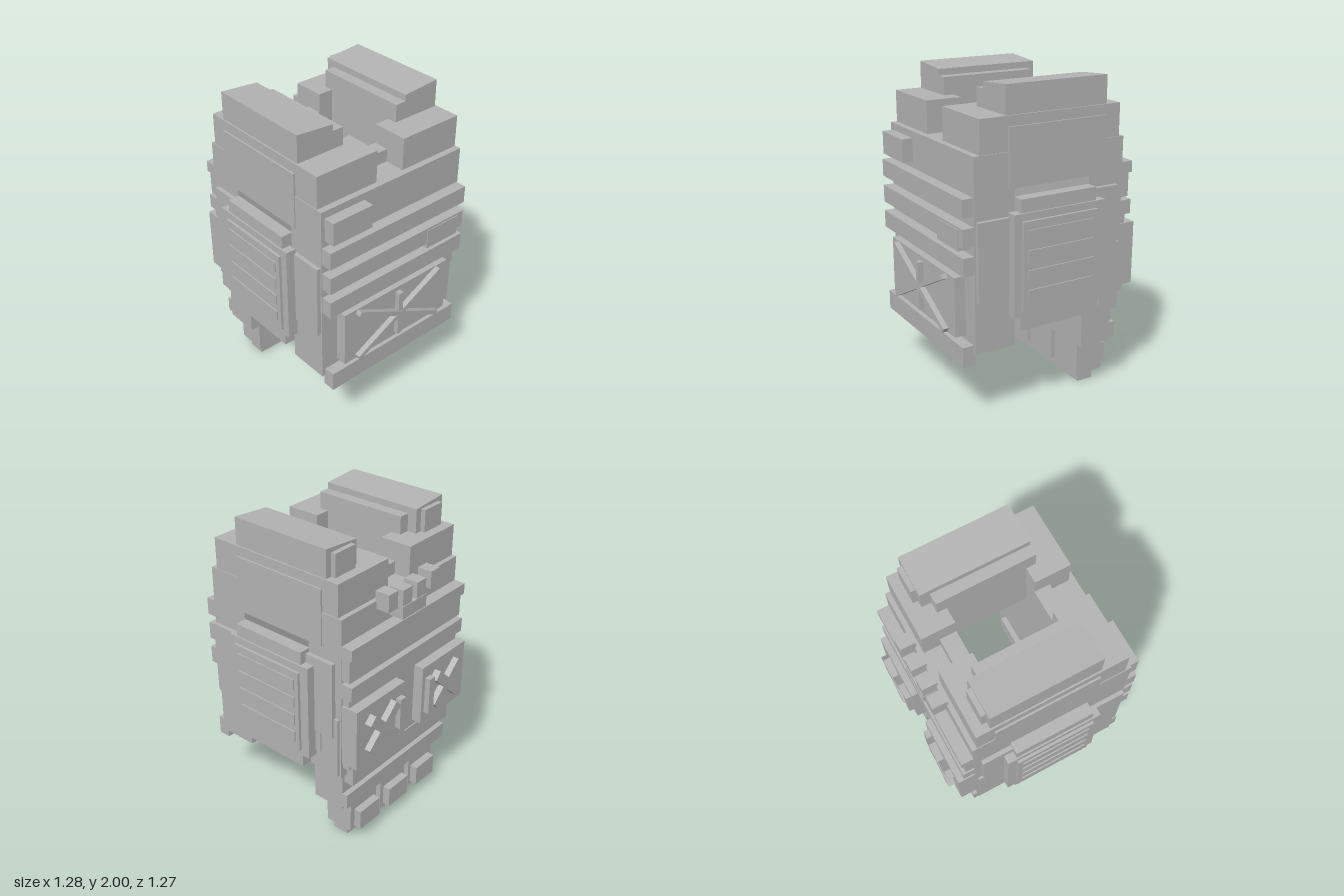
import * as THREE from 'three';

export function createModel() {
  const model = new THREE.Group();
  model.name = 'armouredVest';
  const grey = new THREE.MeshStandardMaterial({ color: 0xb2b2b2 });
  grey.name = 'plain grey';

  // box from its minimum and maximum on each axis
  const box = (name, x0, x1, y0, y1, z0, z1) => {
    const m = new THREE.Mesh(new THREE.BoxGeometry(x1 - x0, y1 - y0, z1 - z0), grey);
    m.position.set((x0 + x1) / 2, (y0 + y1) / 2, (z0 + z1) / 2);
    m.name = name;
    model.add(m);
    return m;
  };
  // the same box on the left and the right
  const pair = (name, x0, x1, ...rest) => {
    box(name + 'Left', x0, x1, ...rest);
    box(name + 'Right', -x1, -x0, ...rest);
  };
  // straight bar between two points in the xy plane
  const bar = (name, ax, ay, bx, by, width, z0, z1) => {
    const m = box(name, 0, Math.hypot(bx - ax, by - ay), 0, width, z0, z1);
    m.position.set((ax + bx) / 2, (ay + by) / 2, (z0 + z1) / 2);
    m.rotation.z = Math.atan2(by - ay, bx - ax);
  };

  // chest plate
  box('chestPlate', -0.535, 0.535, 0.46, 1.63, 0.27, 0.53);
  pair('chestShoulder', 0.1, 0.53, 1.63, 1.83, 0.26, 0.49);
  box('frontCollar', -0.1, 0.1, 1.6, 1.71, 0.26, 0.36);
  pair('chestInnerPad', 0.2, 0.45, 0.5, 0.64, 0.235, 0.29);
  for (const y of [1.29, 1.12, 0.95]) box('chestStrip', -0.53, 0.53, y, y + 0.11, 0.53, 0.6);
  box('chestLabel', -0.51, -0.225, 1.44, 1.585, 0.53, 0.6);
  box('chestClip', 0.225, 0.48, 1.09, 1.215, 0.53, 0.605);
  box('chestHem', -0.51, 0.51, 0.385, 0.51, 0.52, 0.6);

  // front pouch with crossed straps
  box('frontPouch', -0.42, 0.42, 0.54, 0.91, 0.52, 0.6);
  bar('pouchStrapA', -0.33, 0.895, 0.33, 0.555, 0.03, 0.6, 0.635);
  bar('pouchStrapB', -0.33, 0.555, 0.33, 0.895, 0.03, 0.6, 0.635);
  bar('pouchStrapC', 0, 0.57, 0, 0.88, 0.035, 0.6, 0.633);

  // back plate
  box('backPlate', -0.535, 0.535, 0.57, 1.63, -0.48, -0.24);
  pair('backShoulder', 0.1, 0.53, 1.63, 1.83, -0.45, -0.24);
  box('backCollar', -0.1, 0.1, 1.6, 1.71, -0.345, -0.24);
  box('backStripUpper', -0.535, 0.535, 1.4, 1.47, -0.555, -0.48);
  box('backStripBase', -0.53, 0.53, 1.25, 1.4, -0.535, -0.48);
  box('backStripMiddle', -0.535, 0.535, 1.14, 1.23, -0.555, -0.48);
  box('backPouchBase', -0.52, 0.52, 0.64, 1.14, -0.525, -0.48);
  box('tabBar', -0.11, 0.11, 1.49, 1.57, -0.57, -0.48);
  pair('innerTab', 0.022, 0.107, 1.57, 1.67, -0.565, -0.47);
  pair('outerTab', 0.155, 0.237, 1.58, 1.69, -0.565, -0.47);

  // back pouches with crosses
  pair('backPouch', 0.09, 0.53, 0.68, 1.08, -0.59, -0.48);
  pair('pouchBuckle', 0.12, 0.17, 0.75, 1.0, -0.625, -0.58);
  for (const s of [-1, 1]) {
    const x = s * 0.315;
    bar('crossBarA', x - 0.12, 0.77, x + 0.12, 0.995, 0.065, -0.635, -0.58);
    bar('crossBarB', x - 0.12, 0.995, x + 0.12, 0.77, 0.065, -0.63, -0.58);
  }

  // lower back and tail plates
  box('lowerBack', -0.5, 0.5, 0.3, 0.57, -0.46, -0.24);
  box('lowerBackStripUpper', -0.48, 0.48, 0.5, 0.63, -0.525, -0.45);
  box('lowerBackStripLower', -0.5, 0.5, 0.32, 0.42, -0.495, -0.45);
  box('tailBar', -0.39, 0.39, 0, 0.117, -0.41, -0.3);
  box('tailPlateMiddle', -0.125, 0.125, 0.06, 0.3, -0.46, -0.27);
  pair('tailPlate', 0.17, 0.42, 0.07, 0.3, -0.46, -0.27);
  for (const x of [-0.29, 0, 0.29]) box('tailPouch', x - 0.095, x + 0.095, 0.09, 0.225, -0.51, -0.45);

  // shoulders, with gently sloping strap tops
  pair('shoulderCore', 0.2, 0.53, 1.42, 1.83, -0.24, 0.27);
  pair('shoulderSide', 0.5, 0.542, 1.42, 1.77, -0.34, 0.31);
  pair('strapInner', 0.2, 0.28, 1.8, 1.94, -0.3, 0.32);
  pair('strapBackPad', 0.315, 0.48, 1.83, 1.97, -0.39, -0.35);
  for (const s of [-1, 1]) {
    const g = new THREE.BoxGeometry(0.25, 0.2, 0.68);
    const p = g.attributes.position;
    for (let i = 0; i < p.count; i++) {
      if (p.getY(i) > 0 && p.getX(i) * s < 0) p.setY(i, 0.08);
    }
    g.computeVertexNormals();
    const strap = new THREE.Mesh(g, grey);
    strap.position.set(s * 0.395, 1.9, -0.02);
    strap.name = 'shoulderStrap';
    model.add(strap);
  }

  // side armour: stacked plates with ribs
  pair('sidePlateBase', 0.53, 0.605, 0.58, 1.37, -0.24, 0.27);
  pair('sidePlate', 0.55, 0.615, 0.67, 1.29, -0.3, 0.32);
  pair('sidePlateFace', 0.6, 0.632, 0.71, 1.245, -0.24, 0.27);
  for (let i = 0; i < 4; i++) {
    const y = 0.765 + i * 0.12;
    pair('sideRib', 0.62, 0.64, y, y + 0.07, -0.21, 0.24);
  }
  pair('sideFrontPad', 0.52, 0.56, 0.785, 1.26, 0.3, 0.52);
  pair('sideBackPad', 0.52, 0.562, 0.85, 1.345, -0.435, -0.23);
  pair('sideBackTab', 0.52, 0.558, 0.71, 0.87, -0.34, -0.23);
  pair('sideBackLower', 0.5, 0.55, 0.58, 0.98, -0.465, -0.33);

  return model;
}
